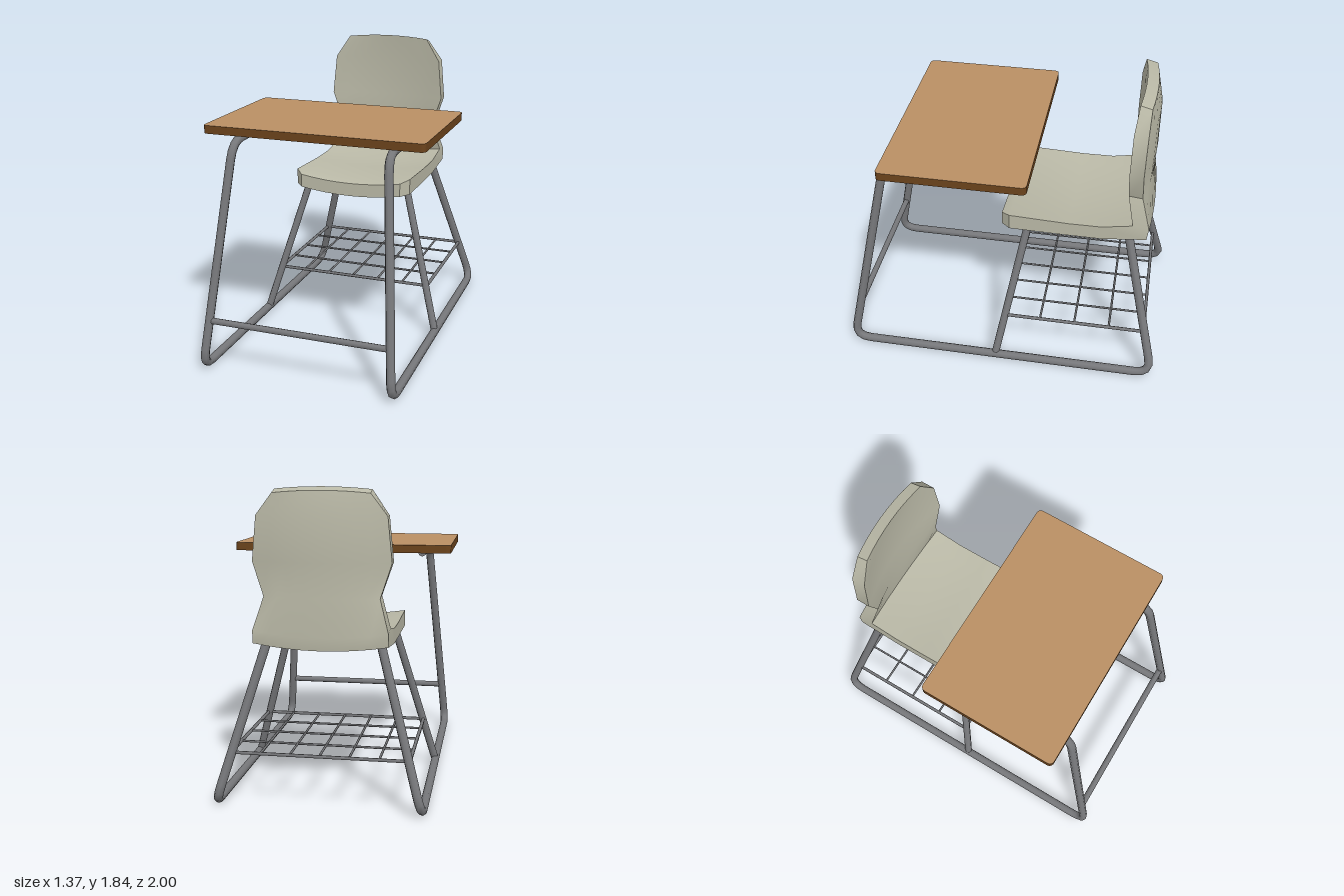
import * as THREE from 'three';
import { toCreasedNormals } from 'three/addons/utils/BufferGeometryUtils.js';

const mat = (name, color) => Object.assign(new THREE.MeshStandardMaterial({ color }), { name });
const V = (x, y, z) => new THREE.Vector3(x, y, z);

// Curve that passes straight through its points, one tube segment per span
class Polyline extends THREE.Curve {
  constructor(points) { super(); this.points = points; }
  getPoint(t, target = new THREE.Vector3()) {
    const f = THREE.MathUtils.clamp(t, 0, 1) * (this.points.length - 1);
    const i = Math.min(Math.floor(f), this.points.length - 2);
    return target.lerpVectors(this.points[i], this.points[i + 1], f - i);
  }
  getPointAt(t, target) { return this.getPoint(t, target); }
  getTangentAt(t, target) { return this.getTangent(t, target); }
}

// Round the inner corners of a path
function filletPath(corners, cut, steps = 4) {
  const out = [corners[0]];
  for (let i = 1; i < corners.length - 1; i++) {
    const c = corners[i];
    const toward = p => c.clone().add(p.clone().sub(c).setLength(cut));
    const bend = new THREE.QuadraticBezierCurve3(toward(corners[i - 1]), c, toward(corners[i + 1]));
    out.push(...bend.getPoints(steps));
  }
  out.push(corners[corners.length - 1]);
  return out;
}

// Straight round bar between two points
function bar(name, a, b, radius, material, sides = 8) {
  const dir = b.clone().sub(a);
  const mesh = new THREE.Mesh(new THREE.CylinderGeometry(radius, radius, dir.length(), sides), material);
  mesh.position.copy(a).add(b).multiplyScalar(0.5);
  mesh.quaternion.setFromUnitVectors(V(0, 1, 0), dir.normalize());
  mesh.name = name;
  return mesh;
}

// One-piece seat and back, lofted through closed sections
function shellGeometry() {
  // upper z, y | lower z, y | half width | centre sag in z, y
  const stations = [
    [0.025, 1.01, 0.025, 0.925, 0.34, 0, -0.03],
    [-0.03, 1.03, -0.03, 0.93, 0.39, 0, -0.03],
    [-0.4, 1.015, -0.4, 0.925, 0.39, 0, -0.032],
    [-0.6, 1.017, -0.6, 0.925, 0.39, 0, -0.032],
    [-0.785, 1.05, -0.875, 0.955, 0.39, -0.02, -0.03],
    [-0.785, 1.05, -0.885, 1.03, 0.39, -0.02, -0.03],
    [-0.745, 1.23, -0.83, 1.22, 0.335, -0.045, 0],
    [-0.74, 1.42, -0.825, 1.42, 0.4, -0.06, 0],
    [-0.745, 1.68, -0.83, 1.68, 0.375, -0.055, 0],
    [-0.765, 1.825, -0.835, 1.805, 0.28, -0.02, 0.015],
  ];
  const cols = 9;
  const rings = stations.map(([tz, ty, bz, by, w, sz, sy]) => {
    const row = (z, y) => Array.from({ length: cols }, (_, j) => {
      const u = j / (cols - 1) * 2 - 1, s = 1 - u * u;
      return V(u * w, y + sy * s, z + sz * s);
    });
    return [...row(tz, ty), ...row(bz, by).reverse()];
  });
  const pos = [];
  const quad = (a, b, c, d) => [a, b, c, a, c, d].forEach(p => pos.push(p.x, p.y, p.z));
  const n = cols * 2;
  for (let i = 0; i < rings.length - 1; i++)
    for (let j = 0; j < n; j++) {
      const k = (j + 1) % n;
      quad(rings[i][j], rings[i][k], rings[i + 1][k], rings[i + 1][j]);
    }
  // front and top edge faces
  const first = rings[0], last = rings[rings.length - 1];
  for (let j = 0; j < cols - 1; j++) {
    quad(first[j], first[n - 1 - j], first[n - 2 - j], first[j + 1]);
    quad(last[j], last[j + 1], last[n - 2 - j], last[n - 1 - j]);
  }
  const geo = new THREE.BufferGeometry();
  geo.setAttribute('position', new THREE.Float32BufferAttribute(pos, 3));
  return toCreasedNormals(geo, 0.6);
}

// Rounded rectangular slab
function deskGeometry(hw, hd, r, thickness) {
  const s = new THREE.Shape();
  s.absarc(hw - r, hd - r, r, 0, Math.PI / 2);
  s.absarc(-hw + r, hd - r, r, Math.PI / 2, Math.PI);
  s.absarc(-hw + r, -hd + r, r, Math.PI, Math.PI * 1.5);
  s.absarc(hw - r, -hd + r, r, Math.PI * 1.5, Math.PI * 2);
  const geo = new THREE.ExtrudeGeometry(s, { depth: thickness, bevelEnabled: false, curveSegments: 3 });
  return geo.rotateX(-Math.PI / 2);
}

export function createModel() {
  const steel = mat('frame steel', 0x77787b);
  const plastic = mat('seat plastic', 0xb9b8a6);
  const laminate = mat('desk laminate', 0xb98f64);
  const edging = mat('desk edging', 0x6b431c);
  const model = new THREE.Group();
  model.name = 'schoolDesk';

  // Desktop
  const desk = new THREE.Mesh(deskGeometry(0.685, 0.443, 0.03, 0.05), [laminate, edging]);
  desk.position.set(0, 1.414, 0.262);
  desk.name = 'desktop';
  model.add(desk);

  // Seat shell
  const seat = new THREE.Mesh(shellGeometry(), plastic);
  seat.name = 'seatShell';
  model.add(seat);

  // Bent side frames and middle legs
  const R = 0.027;
  for (const s of [1, -1]) {
    const side = new THREE.Group();
    side.name = s > 0 ? 'leftFrame' : 'rightFrame';
    const path = filletPath([
      V(s * 0.48, 1.386, 0.15), V(s * 0.48, 1.386, 0.715), V(s * 0.597, R, 0.992),
      V(s * 0.597, R, -0.994), V(s * 0.335, 0.945, -0.765),
    ], 0.11);
    const rail = new THREE.Mesh(new THREE.TubeGeometry(new Polyline(path), path.length - 1, R, 8), steel);
    rail.name = 'bentRail';
    const cap = new THREE.Mesh(new THREE.CircleGeometry(R, 8), steel);
    cap.position.copy(path[0]);
    cap.rotation.y = Math.PI;
    cap.name = 'railEnd';
    side.add(rail, cap, bar('middleLeg', V(s * 0.595, 0.03, 0.03), V(s * 0.335, 0.945, -0.142), 0.024, steel));
    model.add(side);
  }
  model.add(bar('frontCrossbar', V(-0.57, 0.315, 0.933), V(0.57, 0.315, 0.933), 0.02, steel));

  // Wire book rack
  const rack = new THREE.Group();
  rack.name = 'bookRack';
  const y = 0.315, front = -0.03, back = -0.918, half = 0.52;
  for (let i = 0; i <= 4; i++) {
    const z = front + (back - front) * i / 4, outer = i % 4 === 0;
    const h = outer ? half + 0.01 : half;
    rack.add(bar('crossWire', V(-h, y, z), V(h, y, z), outer ? 0.01 : 0.007, steel, 6));
  }
  for (let i = 0; i <= 6; i++) {
    const x = half * (i / 3 - 1);
    rack.add(bar('longWire', V(x, y, front), V(x, y, back), i % 6 ? 0.007 : 0.011, steel, 6));
  }
  model.add(rack);
  return model;
}
